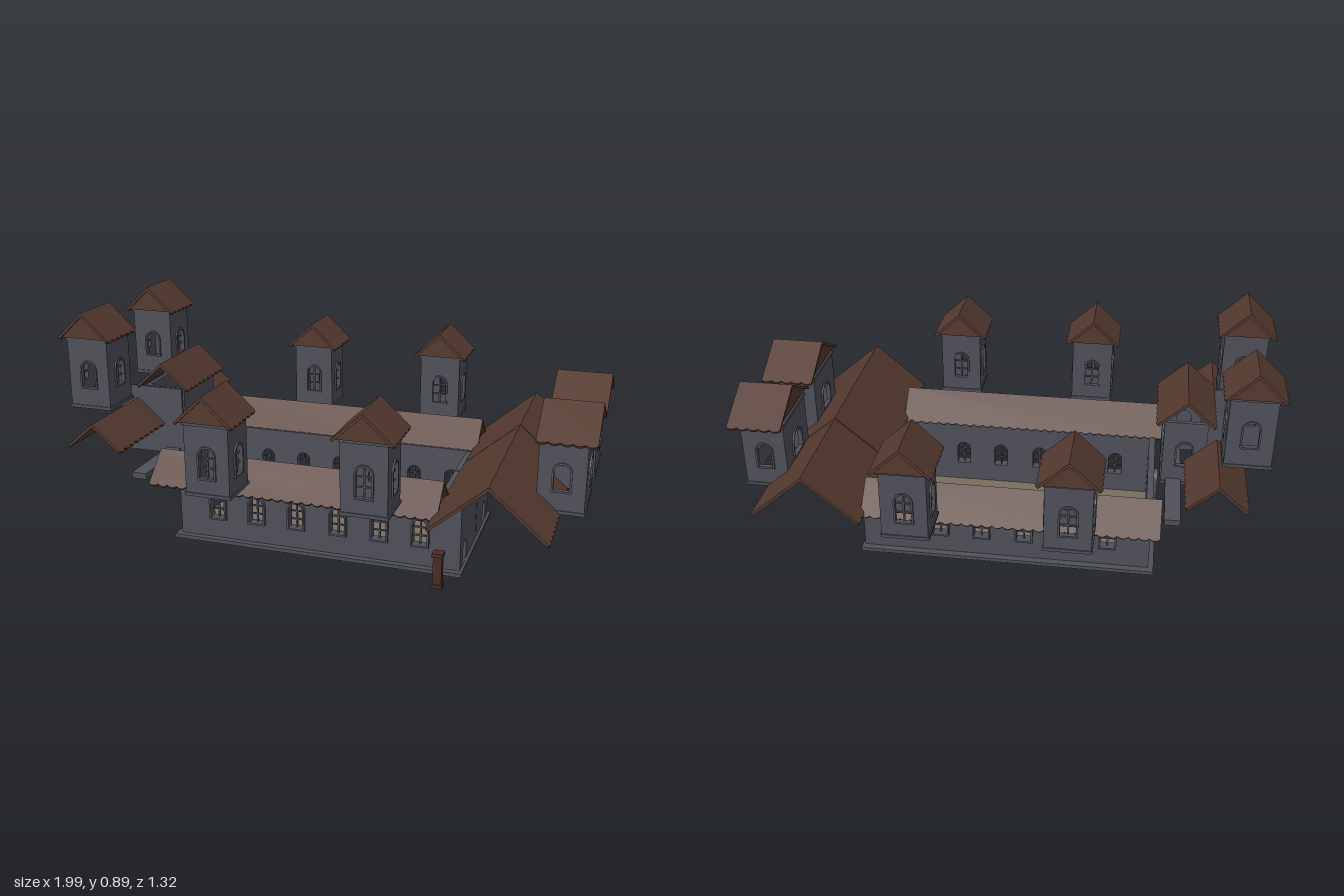
import * as THREE from 'three';

const mat = (name, color, side = THREE.FrontSide) => {
  const m = new THREE.MeshStandardMaterial({ color, side });
  m.name = name;
  return m;
};

export function createModel() {
  const stone = mat('slate stone', 0x50505a);
  const tile = mat('brown roof tile', 0x553a30);
  const floorMat = mat('sandy floor', 0x786e5e);
  const wood = mat('dark wood', 0x4a2c22);
  const model = new THREE.Group();
  model.name = 'castleKit';

  const mesh = (name, geo, material, parent = model) => {
    const m = new THREE.Mesh(geo, material);
    m.name = name;
    parent.add(m);
    return m;
  };
  // Box given by its limits
  const box = (name, x0, x1, y0, y1, z0, z1, material, parent = model) => {
    const m = mesh(name, new THREE.BoxGeometry(x1 - x0, y1 - y0, z1 - z0), material, parent);
    m.position.set((x0 + x1) / 2, (y0 + y1) / 2, (z0 + z1) / 2);
    return m;
  };
  const group = (name, x, y, z, ry = 0, parent = model) => {
    const g = new THREE.Group();
    g.name = name;
    g.position.set(x, y, z);
    g.rotation.y = ry;
    parent.add(g);
    return g;
  };

  // Round-topped opening outline
  const arch = (P, x, y, w, h) => {
    const p = new P(), r = w / 2;
    p.moveTo(x - r, y);
    p.lineTo(x + r, y);
    p.lineTo(x + r, y + h - r);
    p.absarc(x, y + h - r, r, 0, Math.PI, false);
    p.lineTo(x - r, y);
    return p;
  };
  const extrude = (shape, depth) =>
    new THREE.ExtrudeGeometry(shape, { depth, bevelEnabled: false, curveSegments: 6 });

  // Wall with openings; its outer face lies at local z = 0
  const wall = (parent, w, h, t, openings) => {
    const s = new THREE.Shape([[-w / 2, 0], [w / 2, 0], [w / 2, h], [-w / 2, h]].map(p => new THREE.Vector2(...p)));
    for (const o of openings) s.holes.push(arch(THREE.Path, o.x, o.y, o.w, o.h));
    mesh('wall', extrude(s, t), stone, parent).position.z = -t;
    for (const o of openings) {
      const rim = o.rim ?? 0.007;
      if (rim > 0) {
        const f = arch(THREE.Shape, o.x, o.y - rim, o.w + 2 * rim, o.h + 2 * rim);
        f.holes.push(arch(THREE.Path, o.x, o.y, o.w, o.h));
        mesh('windowFrame', extrude(f, o.out ?? 0.006), stone, parent);
      }
      if (o.bars) {
        box('mullion', o.x - 0.003, o.x + 0.003, o.y, o.y + o.h, -0.012, -0.004, stone, parent);
        for (const k of [0.33, 0.66]) {
          const y = o.y + o.h * k;
          box('glazingBar', o.x - o.w / 2, o.x + o.w / 2, y - 0.0025, y + 0.0025, -0.012, -0.004, stone, parent);
        }
      }
    }
  };

  // Gabled roof with scalloped eaves, ridge along local z, eaves at y = 0
  const roof = (name, x, y, z, len, half, rise, { ry = 0, gable = false } = {}) => {
    const g = group(name, x, y, z, ry);
    const S = Math.hypot(half, rise), t = 0.01, d = 0.008;
    const n = Math.max(4, Math.round(len / 0.038));
    const s = new THREE.Shape();
    s.moveTo(-len / 2, 0);
    s.lineTo(-len / 2, -S + d);
    for (let i = 1; i <= n; i++) {
      const a = -len / 2 + len * (i - 0.5) / n, b = -len / 2 + len * i / n;
      s.quadraticCurveTo(a, -S - d, b, -S + d);
    }
    s.lineTo(len / 2, 0);
    for (const k of [1, -1]) {
      const e1 = new THREE.Vector3(0, 0, -k);
      const e2 = new THREE.Vector3(-k * half, rise, 0).divideScalar(S);
      const e3 = new THREE.Vector3().crossVectors(e1, e2);
      const geo = extrude(s, t).translate(0, 0, -t);
      geo.applyMatrix4(new THREE.Matrix4().makeBasis(e1, e2, e3).setPosition(0, rise, 0));
      mesh('roofSlope', geo, tile, g);
    }
    if (gable) {
      const tri = new THREE.Shape([[-half + 0.015, 0.005], [half - 0.015, 0.005], [0, rise - 0.008]].map(p => new THREE.Vector2(...p)));
      for (const k of [1, -1]) {
        mesh('gable', extrude(tri, 0.008), tile, g).position.z = k * (len / 2 - 0.012) - 0.004;
      }
    }
    return g;
  };

  // Hollow four-walled tower body, open above and below
  const tower = (name, x, y, z, wx, wz, h, front, side) => {
    const g = group(name, x, y, z);
    for (let i = 0; i < 4; i++) {
      const odd = i % 2, w = odd ? wz : wx, off = (odd ? wx : wz) / 2, a = i * Math.PI / 2;
      const p = group('towerSide', Math.sin(a) * off, 0, Math.cos(a) * off, a, g);
      wall(p, w, h, 0.012, [odd ? side : front]);
      for (const yy of [0, h - 0.012]) {
        box('moulding', -w / 2 - 0.004, w / 2 + 0.004, yy, yy + 0.012, -0.002, 0.004, stone, p);
      }
    }
  };
  const win = (x, y, w, h, bars = false, extra = {}) => ({ x, y, w, h, bars, ...extra });

  // Base and floor
  box('plinth', -0.59, 0.55, 0.003, 0.014, -0.285, 0.31, stone);
  box('underside', -0.59, 0.55, 0, 0.003, -0.285, 0.31, floorMat);
  box('floor', -0.55, 0.45, 0.014, 0.019, -0.24, 0.265, floorMat);

  // Main hall walls
  const y0 = 0.014, H = 0.274;
  const row = [-0.36, -0.2, -0.04, 0.125, 0.285, 0.44];
  const bays = k => row.map(v => win(k * v, 0.085, 0.055, 0.1, true, { out: 0.015 }));
  const front = group('frontWall', -0.05, y0, 0.286);
  wall(front, 1.04, H, 0.025, bays(1));
  const back = group('backWall', -0.05, y0, -0.258, Math.PI);
  wall(back, 1.04, H, 0.025, bays(-1));
  const west = group('endWall', -0.57, y0, 0.014, -Math.PI / 2);
  wall(west, 0.544, H, 0.025, [-0.13, 0.13].map(v => win(v, 0.085, 0.055, 0.1, true, { out: 0.018 })));

  // Entrance end: two blocks with arched niches
  for (const [a, b, door] of [[-0.258, -0.014, -0.175], [-0.008, 0.286, 0.205]]) {
    box('entranceBlock', 0.45, 0.515, y0, 0.285, a, b, stone);
    const c = (a + b) / 2;
    const g = group('entranceFace', 0.54, y0, c, Math.PI / 2);
    wall(g, b - a, H, 0.026, [win(c - door, 0.002, 0.056, 0.088, false, { rim: 0 })]);
  }
  for (const k of [-1, 1]) {
    const c = mesh('cornerColumn', new THREE.CylinderGeometry(0.025, 0.025, 0.27, 12), stone);
    c.position.set(0.515, 0.149, 0.014 + k * 0.247);
  }

  // Roofs over the hall and wings
  roof('frontHallRoof', -0.055, 0.285, 0.368, 1.09, 0.112, 0.105, { ry: Math.PI / 2 });
  roof('backHallRoof', -0.055, 0.285, -0.35, 1.09, 0.112, 0.105, { ry: Math.PI / 2 });
  roof('entranceRoof', 0.68, 0.295, 0.254, 0.662, 0.208, 0.178);
  roof('entranceRoof', 0.68, 0.295, -0.301, 0.438, 0.208, 0.178);
  roof('rearWingRoof', -0.785, 0.422, 0.36, 0.355, 0.113, 0.098);
  roof('rearWingRoof', -0.785, 0.422, -0.285, 0.33, 0.113, 0.098);

  // Front and back pairs of towers
  for (const x of [-0.285, 0.278]) for (const k of [-1, 1]) {
    const z = k * 0.553;
    const o = win(0, 0.07, 0.055, 0.11, true);
    tower('sideTower', x, 0.335, z, 0.165, 0.16, 0.27, o, o);
    roof('sideTowerRoof', x, 0.602, z, 0.215, 0.112, 0.104, { gable: true });
  }

  // Rear pair of tall towers
  for (const z of [0.29, -0.222]) {
    tower('rearTower', -0.883, 0.52, z, 0.165, 0.163, 0.275, win(0, 0.085, 0.055, 0.095), win(0, 0.085, 0.055, 0.095, true));
    roof('rearTowerRoof', -0.886, 0.79, z, 0.21, 0.11, 0.104, { gable: true });
  }

  // Entrance pair of wide towers
  for (const z of [0.187, -0.192]) {
    tower('entranceTower', 0.883, 0.298, z, 0.165, 0.255, 0.27, win(0, 0.085, 0.055, 0.095), win(0, 0.085, 0.09, 0.095));
    roof('entranceTowerRoof', 0.895, 0.568, z, 0.205, 0.182, 0.102, { ry: Math.PI / 2, gable: true });
  }

  // Central rear tower with its side wall and ledge
  tower('centralTower', -0.673, 0.302, 0.035, 0.16, 0.27, 0.268, win(0, 0.085, 0.055, 0.095), win(0, 0.085, 0.09, 0.095));
  roof('centralTowerRoof', -0.671, 0.57, 0.035, 0.34, 0.112, 0.1);
  box('sideScreen', -0.86, -0.595, 0.302, 0.57, 0.18, 0.188, stone);
  box('ledge', -0.668, -0.61, 0.302, 0.325, -0.38, 0.475, stone);

  // Free-standing door post
  box('doorPost', 0.473, 0.505, 0.012, 0.145, 0.41, 0.437, wood);
  for (const y of [0.012, 0.131]) box('postCap', 0.469, 0.509, y, y + 0.014, 0.405, 0.442, wood);

  return model;
}
